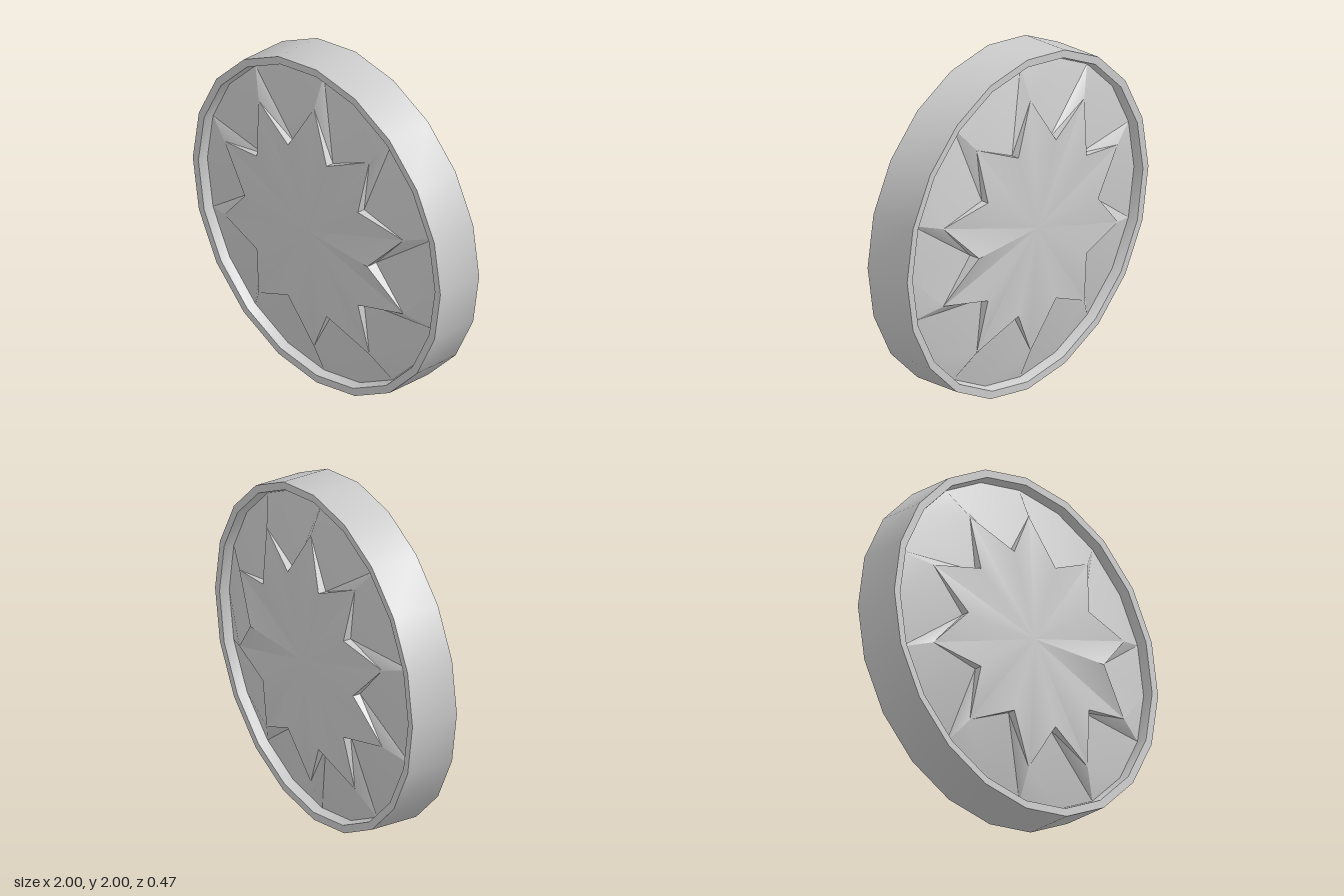
import * as THREE from 'three';
import { toCreasedNormals } from 'three/addons/utils/BufferGeometryUtils.js';

const SIDES = 20;
const CREASE = 0.5;

// One face of the disc: raised ten-pointed star on a sloping field
function faceGeometry(dir) {
  const pos = [];
  const tri = (a, b, c) => {
    for (const p of dir > 0 ? [a, b, c] : [a, c, b]) pos.push(p[0], p[1], p[2] * dir);
  };
  const at = (i, r, z) => {
    const a = (i % SIDES) * Math.PI * 2 / SIDES;
    return [r * Math.cos(a), r * Math.sin(a), z];
  };
  const isTip = (i) => i % 2 === 1;
  // Star outline: tips sink to the field, notches stand above it
  const top = (i) => isTip(i) ? at(i, 0.76, 0.165) : at(i, 0.505, i % SIDES === 0 ? 0.235 : 0.215);
  const base = (i) => isTip(i) ? top(i) : at(i, 0.505, 0.168);
  const edge = (i) => at(i, 0.942, 0.09);
  const centre = [0, 0, 0.215];

  for (let i = 0; i < SIDES; i++) {
    const j = i + 1;
    // star top
    tri(centre, top(i), top(j));
    // wedge-shaped star wall
    if (isTip(i)) tri(top(i), base(j), top(j));
    else tri(top(i), base(i), top(j));
    // field out to the rim
    tri(base(i), edge(i), edge(j));
    tri(base(i), edge(j), base(j));
  }
  const g = new THREE.BufferGeometry();
  g.setAttribute('position', new THREE.Float32BufferAttribute(pos, 3));
  return toCreasedNormals(g, CREASE);
}

export function createModel() {
  const group = new THREE.Group();
  const material = new THREE.MeshStandardMaterial({ color: 0xcccccc });
  const add = (name, geometry) => {
    const mesh = new THREE.Mesh(geometry, material);
    mesh.name = name;
    mesh.position.y = 1;
    group.add(mesh);
  };

  // Twenty-sided rim with a bevelled inner lip on both faces
  const profile = [
    [0.942, -0.09], [0.955, -0.145], [1, -0.145],
    [1, 0.145], [0.955, 0.145], [0.942, 0.09],
  ].map(([r, y]) => new THREE.Vector2(r, y));
  const rim = new THREE.LatheGeometry(profile, SIDES);
  rim.rotateX(Math.PI / 2);
  add('rim', toCreasedNormals(rim, CREASE));

  // Matching star faces
  add('frontFace', faceGeometry(1));
  add('backFace', faceGeometry(-1));
  return group;
}
